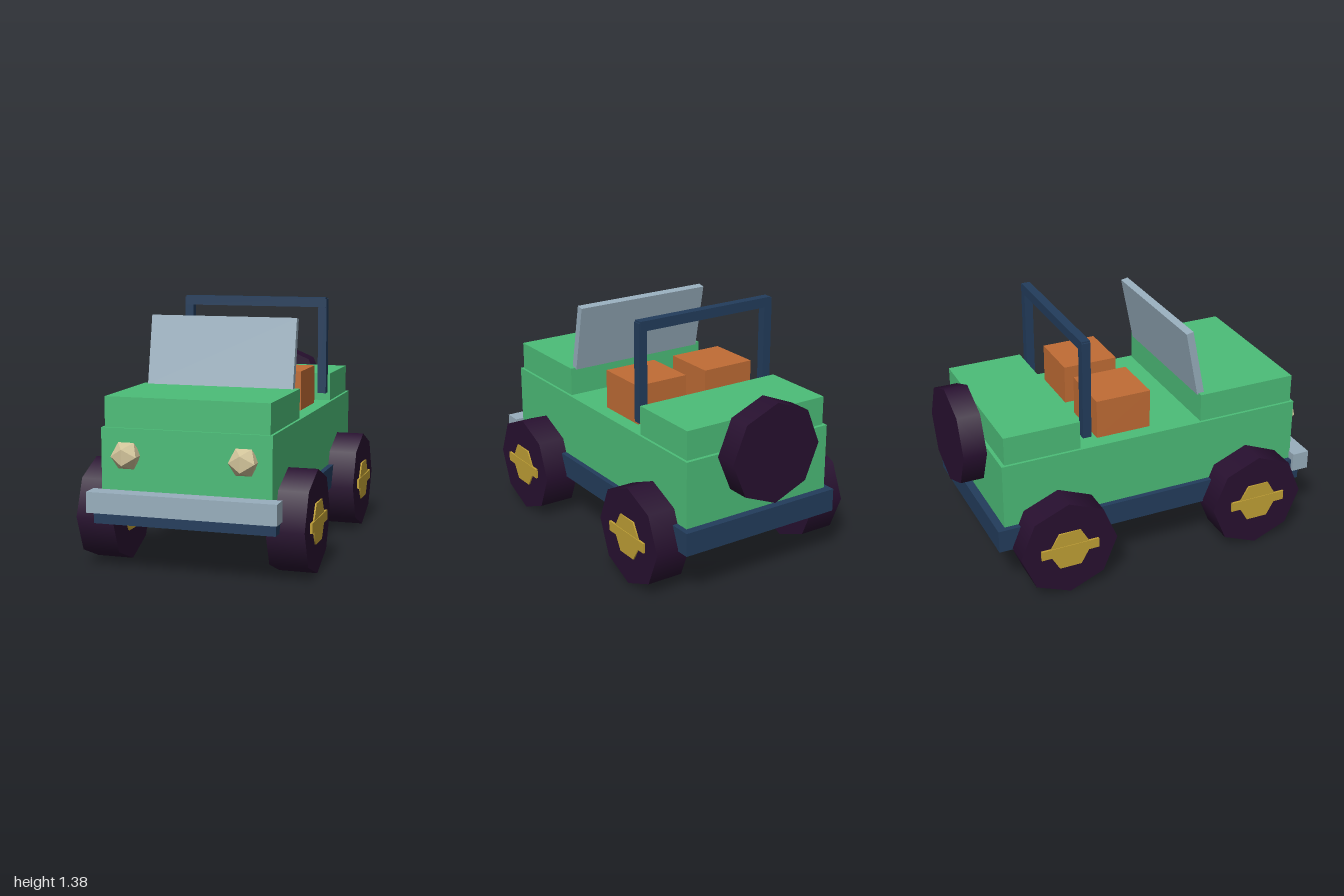
import * as THREE from 'three';

const mat = (name, color, flatShading = false) => {
  const m = new THREE.MeshStandardMaterial({ color, flatShading });
  m.name = name;
  return m;
};

export function createModel() {
  const green = mat('green paint', 0x4cbd78);
  const navy = mat('navy frame', 0x233d5c);
  const steel = mat('pale steel', 0x98aebd);
  const orange = mat('orange seat', 0xc06c35);
  const rubber = mat('dark rubber', 0x281030);
  const gold = mat('gold hub', 0xc0a035);
  const cream = mat('cream lamp', 0xd2c49a, true);

  const car = new THREE.Group();
  car.name = 'openTopCar';

  const add = (name, geometry, material, x, y, z, parent = car) => {
    const mesh = new THREE.Mesh(geometry, material);
    mesh.name = name;
    mesh.position.set(x, y, z);
    parent.add(mesh);
    return mesh;
  };
  // Box given by its limits on each axis
  const box = (name, material, [x0, x1], [y0, y1], [z0, z1], parent = car) =>
    add(name, new THREE.BoxGeometry(x1 - x0, y1 - y0, z1 - z0), material,
      (x0 + x1) / 2, (y0 + y1) / 2, (z0 + z1) / 2, parent);

  // Chassis and body
  box('chassis', navy, [-0.49, 0.49], [0.27, 0.4], [-0.9, 0.95]);
  box('body', green, [-0.46, 0.46], [0.4, 0.77], [-0.855, 0.905]);
  box('hood', green, [-0.445, 0.445], [0.77, 0.93], [0.315, 0.89]);
  box('rearDeck', green, [-0.445, 0.445], [0.77, 0.93], [-0.835, -0.405]);
  box('bumper', steel, [-0.51, 0.51], [0.335, 0.445], [0.9, 1]);

  // Windshield leaning back
  const windshield = add('windshield', new THREE.BoxGeometry(0.83, 0.385, 0.042), steel, 0, 1.114, 0.289);
  windshield.rotation.x = -0.2;

  // Roll bar
  const rollBar = new THREE.Group();
  rollBar.name = 'rollBar';
  car.add(rollBar);
  box('rollBarTop', navy, [-0.427, 0.427], [1.325, 1.38], [-0.385, -0.335], rollBar);

  // Spare wheel on the back
  const spare = add('spareWheel', new THREE.CylinderGeometry(0.278, 0.278, 0.13, 8), rubber, 0, 0.762, -0.935);
  spare.rotation.x = Math.PI / 2;

  // Mirrored parts
  for (const s of [1, -1]) {
    const side = s > 0 ? 'left' : 'right';
    const span = (a, b) => (s > 0 ? [a, b] : [-b, -a]);
    box(side + 'RollBarPost', navy, span(0.385, 0.435), [0.82, 1.372], [-0.384, -0.336], rollBar);
    box(side + 'Seat', orange, span(0.065, 0.38), [0.77, 0.99], [-0.28, 0.035]);
    add(side + 'Headlight', new THREE.IcosahedronGeometry(0.081), cream, s * 0.315, 0.631, 0.925);

    // Wheel with a hexagonal hub and cross bar
    for (const [end, z] of [['Front', 0.602], ['Rear', -0.547]]) {
      const wheel = new THREE.Group();
      wheel.name = side + end + 'Wheel';
      wheel.position.set(s * 0.5175, 0.278, z);
      car.add(wheel);
      add('tyre', new THREE.CylinderGeometry(0.278, 0.278, 0.205, 8), rubber, 0, 0, 0, wheel).rotation.z = Math.PI / 2;
      add('hub', new THREE.CylinderGeometry(0.125, 0.125, 0.222, 6), gold, 0, 0, 0, wheel).rotation.z = Math.PI / 2;
      add('hubBar', new THREE.BoxGeometry(0.23, 0.055, 0.332), gold, 0, 0, 0, wheel);
    }
  }
  return car;
}
